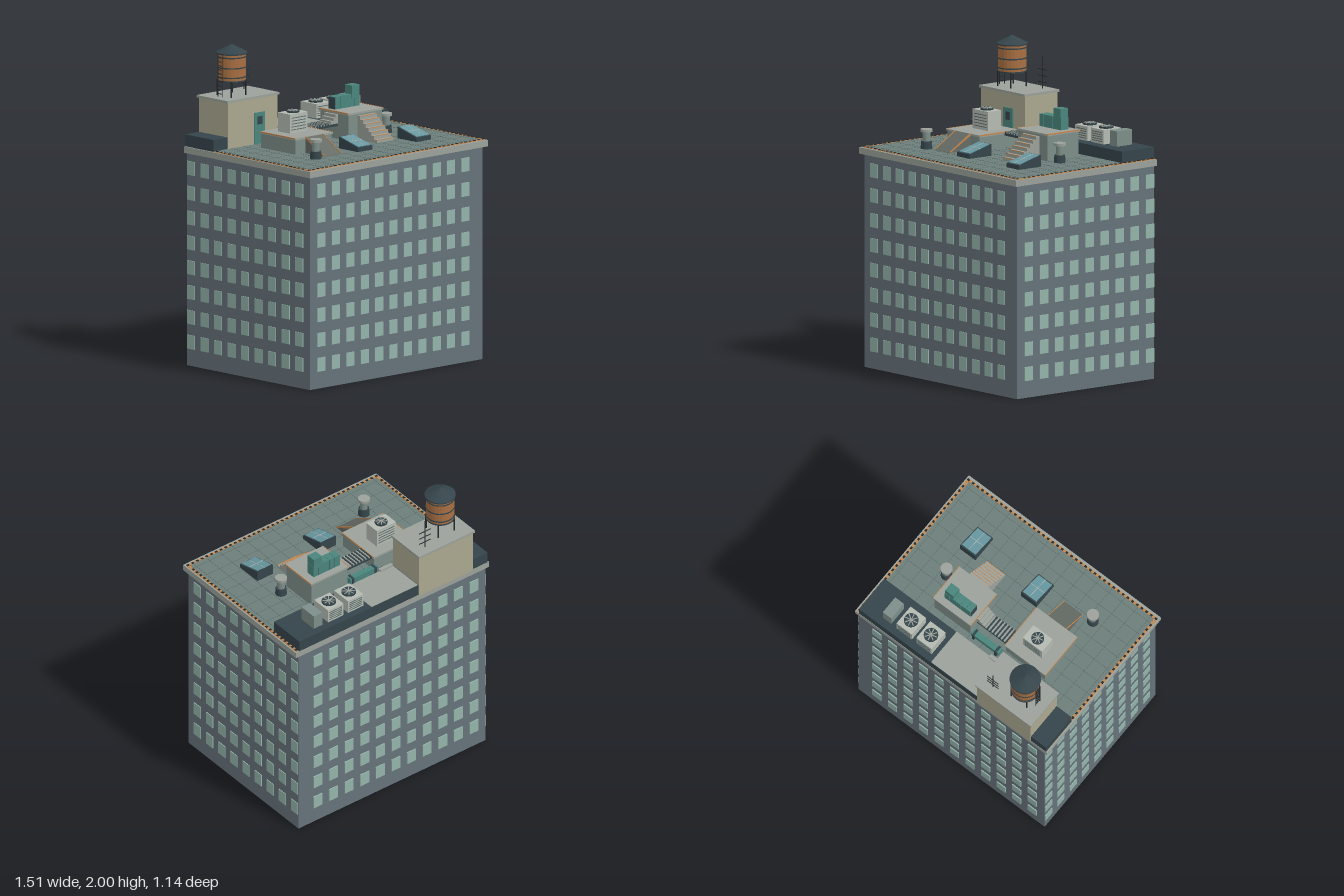
import * as THREE from 'three';

const C = {
  wall: 0x65727a, window: 0x93b3a9, stone: 0x9ca19a, deck: 0x6d7f7b, dark: 0x35454b, seam: 0x5a6b68,
  orange: 0xc2854c, beige: 0xaaa78f, wood: 0xa86f42, teal: 0x4a857c, side: 0x7d8e89, black: 0x23292c,
  glass: 0x6797a0, ramp: 0x666c66, pale: 0xb4bab2,
};
const mats = {};
const mat = (c) => (mats[c] ??= new THREE.MeshStandardMaterial({ color: C[c], flatShading: true }));

function add(parent, name, geo, color, x = 0, y = 0, z = 0) {
  const m = new THREE.Mesh(geo, mat(color));
  m.name = name;
  m.position.set(x, y, z);
  parent.add(m);
  return m;
}
// Box given by its limits on each axis
function box(parent, name, color, x0, x1, y0, y1, z0, z1) {
  return add(parent, name, new THREE.BoxGeometry(x1 - x0, y1 - y0, z1 - z0), color,
    (x0 + x1) / 2, (y0 + y1) / 2, (z0 + z1) / 2);
}
// Cylinder standing on y0
function cyl(parent, name, color, x, z, y0, y1, rTop, rBottom = rTop, sides = 16) {
  return add(parent, name, new THREE.CylinderGeometry(rTop, rBottom, y1 - y0, sides), color, x, (y0 + y1) / 2, z);
}
// Side profile of (z, y) points, extruded from x0 to x1
function prism(parent, name, color, pts, x0, x1) {
  const shape = new THREE.Shape(pts.map(([z, y]) => new THREE.Vector2(-z, y)));
  const g = new THREE.ExtrudeGeometry(shape, { depth: x1 - x0, bevelEnabled: false });
  g.rotateY(Math.PI / 2);
  return add(parent, name, g, color, x0);
}
function group(parent, name) {
  const g = new THREE.Group();
  g.name = name;
  parent.add(g);
  return g;
}

const ROOF = 1.375, LEDGE = 1.45;

function addWindows(root) {
  const g = group(root, 'windows');
  for (let row = 0; row < 8; row++) {
    const y = 0.15 + row * 0.1557, h = 0.0435, w = 0.034;
    for (let i = 0; i < 11; i++) {
      const x = -0.635 + i * 0.1217;
      box(g, 'frontWindow', 'window', x - w, x + w, y - h, y + h, 0.54, 0.55);
      box(g, 'backWindow', 'window', x - w, x + w, y - h, y + h, -0.565, -0.55);
    }
    for (let i = 0; i < 9; i++) {
      const z = 0.452 - i * 0.1217;
      for (const s of [-1, 1])
        box(g, 'sideWindow', 'window', s * 0.73 - 0.005, s * 0.73 + 0.005, y - h, y + h, z - w, z + w);
    }
  }
}

function addRoofDeck(root) {
  const g = group(root, 'roofDeck');
  box(g, 'cornice', 'stone', -0.753, 0.753, 1.335, ROOF, -0.562, 0.57);
  box(g, 'deck', 'deck', -0.725, 0.725, ROOF - 0.01, ROOF + 0.003, -0.55, 0.537);
  // Paving seams
  for (let x = -0.7; x < 0.72; x += 0.1) box(g, 'seam', 'seam', x - 0.0015, x + 0.0015, ROOF, ROOF + 0.004, -0.3, 0.535);
  for (let z = -0.2; z < 0.52; z += 0.1) box(g, 'seam', 'seam', -0.72, 0.72, ROOF, ROOF + 0.004, z - 0.0015, z + 0.0015);
  // Edge strips with small studs
  box(g, 'frontStrip', 'orange', -0.743, 0.743, ROOF, ROOF + 0.004, 0.536, 0.552);
  for (let i = 0; i <= 40; i++) {
    const x = -0.735 + i * 0.03675;
    box(g, 'stud', 'black', x - 0.008, x + 0.008, ROOF, ROOF + 0.007, 0.537, 0.55);
  }
  for (const s of [-1, 1]) {
    box(g, 'sideStrip', 'orange', s * 0.735 - 0.008, s * 0.735 + 0.008, ROOF, ROOF + 0.004, -0.555, 0.536);
    for (let z = -0.54; z < 0.52; z += 0.03675)
      box(g, 'stud', 'black', s * 0.735 - 0.0065, s * 0.735 + 0.0065, ROOF, ROOF + 0.007, z - 0.008, z + 0.008);
  }
}

// Square cooling unit with a fan on top and louvres in front
function coolingUnit(parent, x, y, z, w, h, d, r) {
  const g = group(parent, 'coolingUnit');
  g.position.set(x, y, z);
  box(g, 'casing', 'pale', -w / 2, w / 2, 0, h, -d / 2, d / 2);
  for (let i = 1; i < 6; i++)
    for (const s of [-1, 1])
      box(g, 'louvre', 'seam', -w * 0.4, w * 0.4, h * i / 6.5, h * i / 6.5 + 0.005, s * d / 2 - 0.002, s * d / 2 + 0.002);
  cyl(g, 'fanRim', 'dark', 0, 0, h, h + 0.01, r, r, 20);
  for (let i = 0; i < 4; i++) {
    const b = box(g, 'fanBlade', 'stone', -r * 0.9, r * 0.9, h + 0.009, h + 0.013, -0.003, 0.003);
    b.rotation.y = i * Math.PI / 4 + 0.2;
  }
  cyl(g, 'fanHub', 'stone', 0, 0, h + 0.009, h + 0.015, r * 0.2);
}

function addBulkhead(root) {
  const g = group(root, 'stairHouse');
  box(g, 'walls', 'beige', -0.625, -0.205, ROOF - 0.005, 1.665, -0.565, -0.303);
  box(g, 'roofSlab', 'stone', -0.635, -0.198, 1.665, 1.68, -0.575, -0.295);
  box(g, 'door', 'teal', -0.405, -0.315, ROOF, 1.575, -0.305, -0.297);
  box(g, 'doorWindow', 'dark', -0.38, -0.34, 1.5, 1.55, -0.3, -0.295);
  // Aerial
  cyl(g, 'aerialMast', 'black', -0.29, -0.515, 1.68, 1.88, 0.003, 0.003, 6);
  for (const y of [1.72, 1.76, 1.8]) box(g, 'aerialBar', 'black', -0.335, -0.245, y - 0.002, y + 0.002, -0.517, -0.513);
}

function addWaterTank(root) {
  const g = group(root, 'waterTank');
  g.position.set(-0.476, 0, -0.428);
  for (const x of [-0.062, 0.062]) for (const z of [-0.062, 0.062]) cyl(g, 'leg', 'black', x, z, 1.68, 1.78, 0.005, 0.005, 8);
  cyl(g, 'base', 'dark', 0, 0, 1.772, 1.781, 0.09, 0.09, 24);
  cyl(g, 'barrel', 'wood', 0, 0, 1.78, 1.95, 0.088, 0.088, 24);
  for (const y of [1.8, 1.86, 1.925]) cyl(g, 'hoop', 'dark', 0, 0, y - 0.004, y + 0.004, 0.091, 0.091, 24);
  cyl(g, 'roofRim', 'dark', 0, 0, 1.943, 1.952, 0.097, 0.097, 24);
  cyl(g, 'roof', 'dark', 0, 0, 1.952, 2, 0.002, 0.097, 24);
  // Ladder
  for (const s of [-1, 1]) cyl(g, 'ladderRail', 'black', -0.098, s * 0.02, 1.68, 1.95, 0.003, 0.003, 6);
  for (let y = 1.7; y < 1.94; y += 0.025) box(g, 'ladderRung', 'black', -0.1, -0.096, y - 0.002, y + 0.002, -0.02, 0.02);
}

function addRearLedge(root) {
  const g = group(root, 'rearLedge');
  for (const [a, b] of [[-0.743, -0.625], [-0.205, 0.725]]) box(g, 'ledge', 'dark', a, b, ROOF, LEDGE, -0.56, -0.305);
  box(g, 'paleCover', 'stone', -0.2, 0.16, LEDGE - 0.01, LEDGE + 0.003, -0.558, -0.303);
  box(g, 'smallStep', 'stone', -0.197, -0.1, ROOF, 1.465, -0.316, -0.29);
  for (const x of [0.25, 0.405]) coolingUnit(g, x, LEDGE, -0.445, 0.12, 0.09, 0.14, 0.045);
  box(g, 'equipmentBox', 'side', 0.508, 0.575, LEDGE, 1.545, -0.512, -0.388);
}

// Raised platform with orange trim on both sides
function platform(parent, name, x0, x1, top, z0, z1) {
  const g = group(parent, name);
  box(g, 'base', 'side', x0 + 0.006, x1 - 0.006, ROOF, top - 0.012, z0 + 0.006, z1 - 0.006);
  box(g, 'top', 'stone', x0, x1, top - 0.012, top, z0, z1);
  for (const x of [x0, x1]) box(g, 'trim', 'orange', x - 0.002, x + 0.002, top - 0.006, top + 0.002, z0, z1);
  return g;
}

function addPlatforms(root) {
  // Left platform with cooling unit and ramp
  const left = platform(root, 'leftPlatform', -0.453, -0.135, 1.48, -0.2, 0.12);
  coolingUnit(left, -0.293, 1.48, -0.072, 0.15, 0.12, 0.105, 0.04);
  prism(left, 'ramp', 'ramp', [[0.12, ROOF], [0.285, ROOF], [0.285, 1.38], [0.12, 1.478]], -0.365, -0.222);
  for (const x of [-0.365, -0.222])
    prism(left, 'rampTrim', 'orange', [[0.12, 1.468], [0.285, 1.377], [0.285, 1.385], [0.12, 1.484]], x - 0.002, x + 0.002);

  // Right platform with stair and teal cabinets
  const right = platform(root, 'rightPlatform', 0.095, 0.39, 1.548, -0.248, 0.015);
  for (let i = 0; i < 7; i++) {
    const z = 0.015 + i * 0.025, y = 1.548 - (i + 1) * 0.0215;
    box(right, 'step', 'stone', 0.17, 0.313, ROOF, y, z, z + 0.025);
    box(right, 'stepNosing', 'orange', 0.17, 0.313, y - 0.003, y + 0.001, z + 0.022, z + 0.026);
  }
  for (let i = 0; i < 5; i++) {
    const x = 0.13 + i * 0.041;
    box(right, 'cabinet', 'teal', x + 0.001, x + 0.04, 1.548, 1.625, -0.202, -0.14);
    box(right, 'cabinetSeam', 'dark', x - 0.001, x + 0.001, 1.548, 1.62, -0.2, -0.142);
  }
  box(right, 'tallCabinet', 'teal', 0.268, 0.332, 1.6, 1.68, -0.2, -0.138);

  // Slatted bridge and steps between the platforms
  const bridge = group(root, 'bridge');
  for (const z of [-0.178, -0.084]) box(bridge, 'beam', 'dark', -0.135, 0.095, 1.458, 1.472, z - 0.004, z + 0.004);
  for (let i = 0; i < 14; i++) {
    const x = -0.131 + i * 0.012;
    box(bridge, 'slat', i % 2 ? 'stone' : 'dark', x, x + 0.008, 1.472, 1.482, -0.182, -0.08);
  }
  for (let i = 0; i < 3; i++) box(bridge, 'step', 'stone', 0.037 + i * 0.019, 0.095, 1.475 + i * 0.019, 1.494 + i * 0.019, -0.182, -0.08);

  // Teal bench behind the bridge
  const bench = group(root, 'bench');
  box(bench, 'seat', 'teal', -0.13, 0.087, 1.405, 1.445, -0.255, -0.217);
  for (const x of [-0.108, 0.068]) box(bench, 'support', 'dark', x - 0.008, x + 0.008, ROOF, 1.448, -0.26, -0.212);
}

function addSkylight(root, x, z) {
  const g = group(root, 'skylight');
  g.position.set(x, 0, z);
  prism(g, 'frame', 'dark', [[-0.087, ROOF], [0.087, ROOF], [0.087, 1.405], [-0.087, 1.45]], -0.06, 0.06);
  const pane = group(g, 'pane');
  pane.position.y = 1.4275;
  pane.rotation.x = Math.atan2(0.045, 0.174);
  box(pane, 'glass', 'glass', -0.053, 0.053, -0.004, 0.004, -0.081, 0.081);
  box(pane, 'bar', 'pale', -0.0015, 0.0015, 0, 0.006, -0.081, 0.081);
  box(pane, 'bar', 'pale', -0.053, 0.053, 0, 0.006, -0.0015, 0.0015);
}

function addVent(root, x, z) {
  const g = group(root, 'vent');
  cyl(g, 'base', 'dark', x, z, ROOF, 1.425, 0.033, 0.037);
  cyl(g, 'pipe', 'side', x, z, 1.425, 1.485, 0.024);
  cyl(g, 'cap', 'stone', x, z, 1.483, 1.5, 0.038);
}

export function createModel() {
  const root = new THREE.Group();
  root.name = 'rooftopBuilding';
  box(root, 'walls', 'wall', -0.73, 0.73, 0, 1.34, -0.558, 0.545);
  addWindows(root);
  addRoofDeck(root);
  addRearLedge(root);
  addBulkhead(root);
  addWaterTank(root);
  addPlatforms(root);
  addSkylight(root, -0.05, 0.233);
  addSkylight(root, 0.435, 0.243);
  addVent(root, -0.44, 0.29);
  addVent(root, 0.455, -0.03);
  return root;
}
